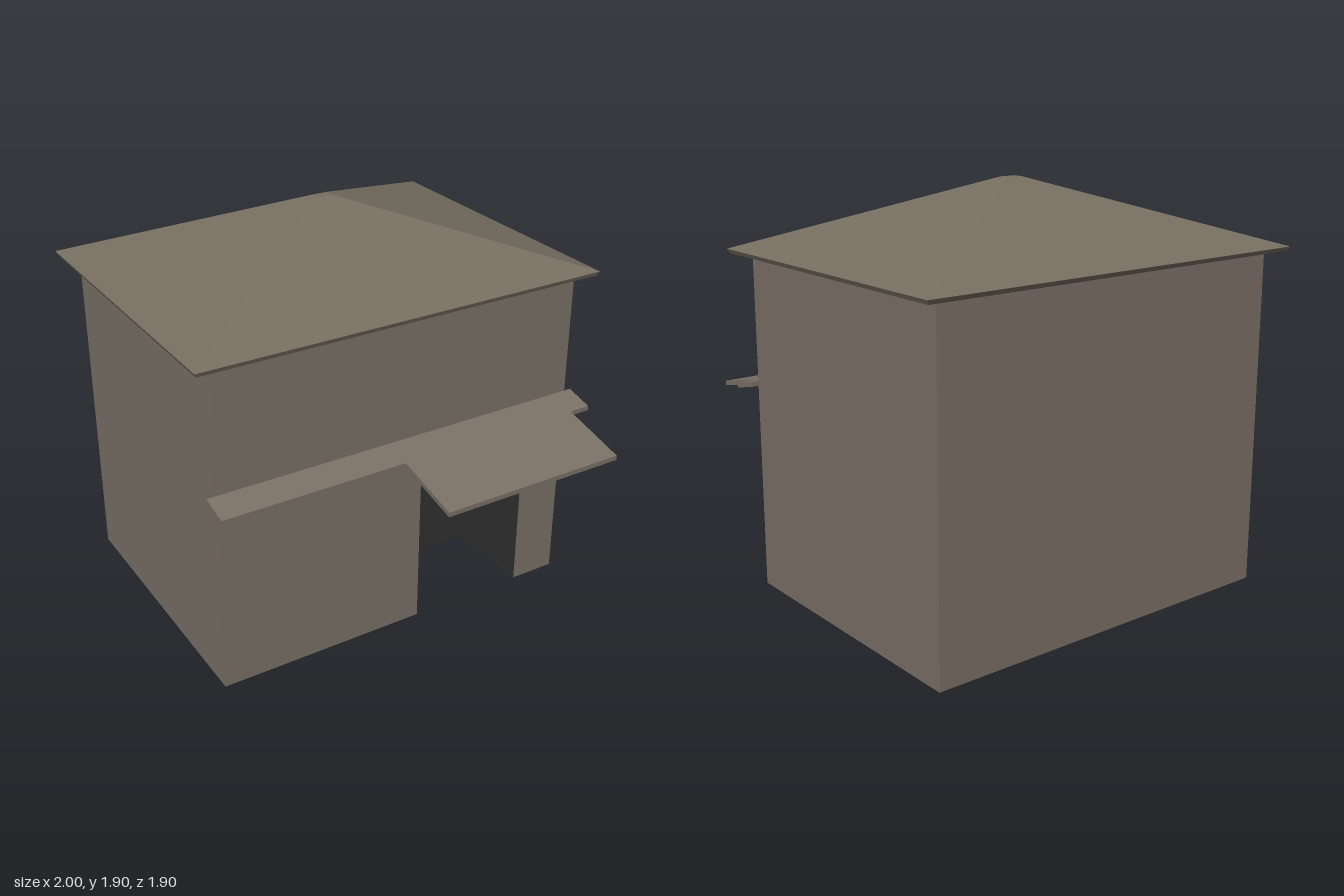
import * as THREE from 'three';

const wallMat = new THREE.MeshStandardMaterial({ color: 0x7a7066 });
const roofMat = new THREE.MeshStandardMaterial({ color: 0x766e60 });
const darkMat = new THREE.MeshStandardMaterial({ color: 0x303030 });

// Extrudes a plan outline of [x, z] points upwards from y = 0
function extrudePlan(points, height) {
  const shape = new THREE.Shape(points.map(([x, z]) => new THREE.Vector2(x, -z)));
  const geo = new THREE.ExtrudeGeometry(shape, { depth: height, bevelEnabled: false });
  return geo.rotateX(-Math.PI / 2);
}

// Flat-shaded solid through rectangular rings, capped at both ends
function ringSolid(rings) {
  const pos = [];
  const quad = (a, b, c, d) => pos.push(...a, ...b, ...c, ...a, ...c, ...d);
  const corners = rings.map(({ x, back, front, y }) =>
    [[-x, y, front], [x, y, front], [x, y, back], [-x, y, back]]);
  for (let i = 0; i < corners.length - 1; i++) {
    const lo = corners[i], hi = corners[i + 1];
    for (let k = 0; k < 4; k++) {
      const n = (k + 1) % 4;
      quad(lo[k], lo[n], hi[n], hi[k]);
    }
  }
  const first = corners[0], last = corners[corners.length - 1];
  quad(first[3], first[2], first[1], first[0]);
  quad(...last);
  const geo = new THREE.BufferGeometry();
  geo.setAttribute('position', new THREE.Float32BufferAttribute(pos, 3));
  geo.computeVertexNormals();
  return geo;
}

export function createModel() {
  const house = new THREE.Group();
  house.name = 'house';
  const add = (name, geo, mat) => {
    const mesh = new THREE.Mesh(geo, mat);
    mesh.name = name;
    house.add(mesh);
    return mesh;
  };

  const W = 0.91, back = -0.875, front = 0.49, wallTop = 1.595;
  const doorL = 0.11, doorR = 0.68, doorBack = 0.04, doorTop = 0.9, t = 0.004;

  // Lower walls with the entrance notch, and the plain upper walls
  add('lowerWalls', extrudePlan([
    [-W, front], [doorL - t, front], [doorL - t, doorBack - t], [doorR + t, doorBack - t],
    [doorR + t, front], [W, front], [W, back], [-W, back],
  ], doorTop), wallMat);
  const upper = new THREE.BoxGeometry(2 * W, wallTop - doorTop, front - back);
  upper.translate(0, (wallTop + doorTop) / 2, (front + back) / 2);
  add('upperWalls', upper, wallMat);

  // Dark lining of the entrance recess
  add('entranceLining', extrudePlan([
    [doorL - t, front], [doorL, front], [doorL, doorBack], [doorR, doorBack],
    [doorR, front], [doorR + t, front], [doorR + t, doorBack - t], [doorL - t, doorBack - t],
  ], doorTop), darkMat);
  const ceiling = new THREE.BoxGeometry(doorR - doorL, t, front - doorBack);
  ceiling.translate((doorL + doorR) / 2, doorTop - t / 2, (front + doorBack) / 2);
  add('entranceCeiling', ceiling, darkMat);

  // Stepped awning, sheared to slope down away from the wall
  const awning = extrudePlan([
    [-0.95, front], [-0.95, 0.625], [-0.07, 0.625], [-0.07, 0.95],
    [0.84, 0.95], [0.84, 0.625], [0.945, 0.625], [0.945, front],
  ], 0.022);
  const p = awning.attributes.position;
  for (let i = 0; i < p.count; i++) {
    p.setY(i, p.getY(i) + 0.963 - 0.228 * (p.getZ(i) - front));
  }
  awning.computeVertexNormals();
  add('awning', awning, wallMat);

  // Hipped roof: sloping underside, eave edge, slopes and small flat top
  add('roof', ringSolid([
    { x: 0.04, back: -0.22, front: -0.18, y: 1.88 },
    { x: 0.99, back: -0.937, front: 0.55, y: 1.57 },
    { x: 1.0, back: -0.947, front: 0.558, y: 1.59 },
    { x: 0.04, back: -0.22, front: -0.175, y: 1.905 },
  ]), roofMat);

  return house;
}
